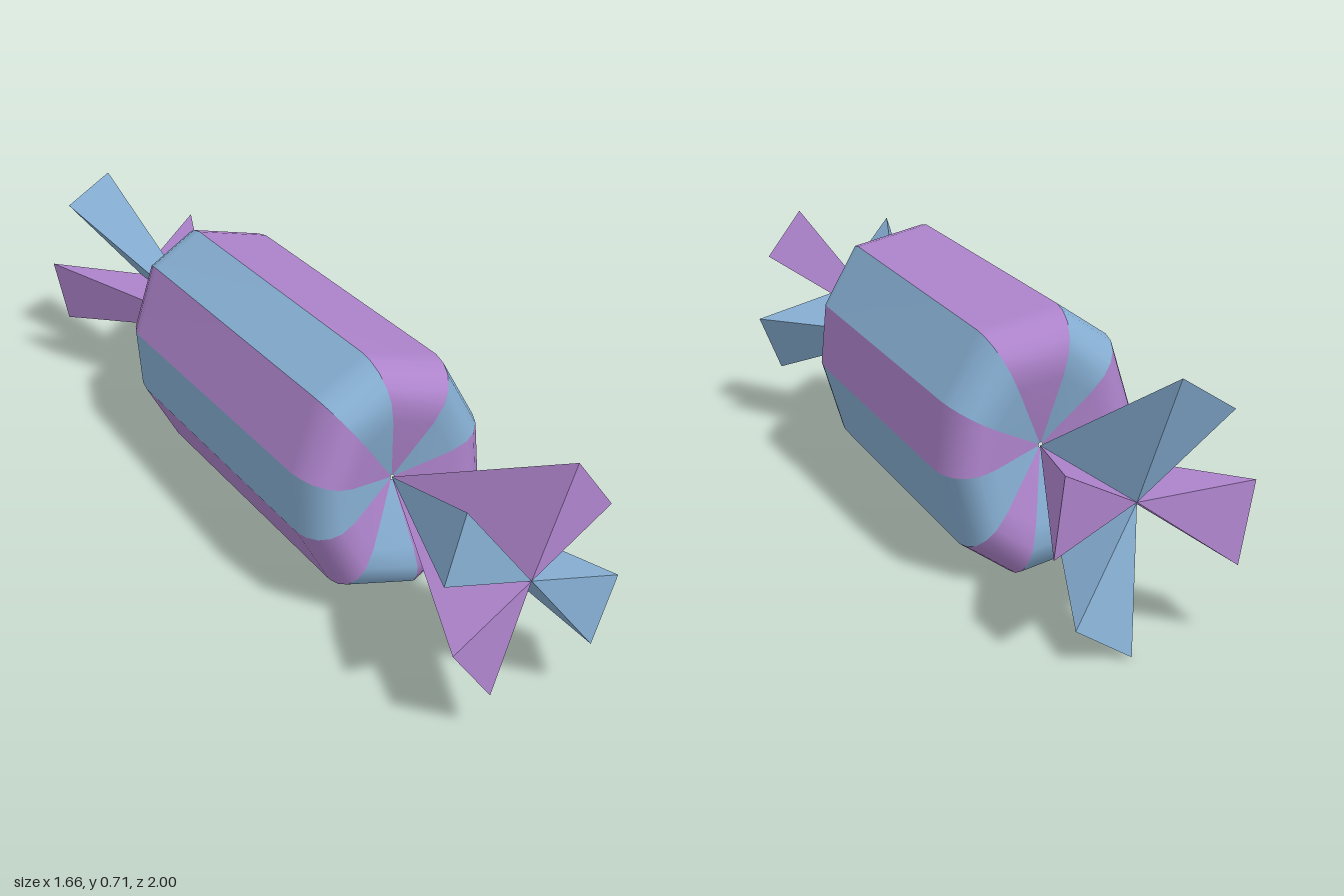
import * as THREE from 'three';
import { ConvexGeometry } from 'three/addons/geometries/ConvexGeometry.js';

const PURPLE = 0xae84cc, BLUE = 0x86aed2;
const V = (x, y, z) => new THREE.Vector3(x, y, z);

// Frame of the sweet: long axis, sideways direction and centre height
const AXIS = V(0.57, 0.046, 0.82), SIDE = V(0.82, 0, -0.57), MID = 0.36;

// Half of the ten-sided cross-section (sideways, up); the rest is its point mirror
const half = [[-0.06, 0.33], [0.143, 0.28], [0.235, 0.115], [0.25, -0.055], [0.19, -0.245]];
const section = [...half, ...half.map(([p, y]) => [-p, -y])];

// Rounded shoulder and dished end: distance along the axis, scale of the section
const end = [[0.46, 1], [0.50, 0.975], [0.535, 0.92], [0.56, 0.83], [0.572, 0.72], [0.565, 0.55], [0.51, 0.02]];
const rings = [...end.map(([a, s]) => [-a, s]).reverse(), ...end];

function bodyPoint([a, s], [p, y]) {
  const v = AXIS.clone().multiplyScalar(a).addScaledVector(SIDE, p * s);
  v.y += MID + y * s;
  return v;
}

// One lengthwise panel: smooth along its length, sharp against its neighbours
function panelGeometry(k) {
  const positions = [], index = [];
  rings.forEach((ring, i) => {
    for (const corner of [section[k], section[(k + 1) % section.length]]) {
      positions.push(...bodyPoint(ring, corner).toArray());
    }
    if (i < rings.length - 1) {
      const n = 2 * i;
      index.push(n, n + 2, n + 3, n, n + 3, n + 1);
    }
  });
  const g = new THREE.BufferGeometry();
  g.setAttribute('position', new THREE.Float32BufferAttribute(positions, 3));
  g.setIndex(index);
  g.computeVertexNormals();
  return g;
}

// Twisted wrapper end: four folded petals from one knot to a shared middle
function wrapperEnd(name, knot, middle, petals) {
  const group = new THREE.Group();
  group.name = name;
  petals.forEach(([p, q], i) => {
    const mesh = new THREE.Mesh(
      new ConvexGeometry([knot, middle, V(...p), V(...q)]),
      new THREE.MeshStandardMaterial({ color: i % 2 ? PURPLE : BLUE, flatShading: true })
    );
    mesh.name = 'wrapperPetal';
    group.add(mesh);
  });
  return group;
}

export function createModel() {
  const model = new THREE.Group();
  model.name = 'wrappedCandy';

  // Striped body
  const body = new THREE.Group();
  body.name = 'body';
  section.forEach((_, k) => {
    const mesh = new THREE.Mesh(panelGeometry(k),
      new THREE.MeshStandardMaterial({ color: k % 2 ? BLUE : PURPLE }));
    mesh.name = 'bodyStripe';
    body.add(mesh);
  });
  model.add(body);

  // Wrapper ends
  model.add(wrapperEnd('frontWrapperEnd', V(0.29, 0.385, 0.42), V(0.635, 0.405, 0.86), [
    [[0.49, 0.63, 0.96], [0.45, 0.465, 1.0]],
    [[0.72, 0.67, 0.79], [0.80, 0.535, 0.725]],
    [[0.83, 0.34, 0.71], [0.78, 0.18, 0.76]],
    [[0.56, 0.14, 0.93], [0.475, 0.28, 0.99]],
  ]));
  model.add(wrapperEnd('backWrapperEnd', V(-0.29, 0.335, -0.42), V(-0.58, 0.33, -0.78), [
    [[-0.68, 0.63, -0.84], [-0.785, 0.55, -0.76]],
    [[-0.83, 0.38, -0.71], [-0.80, 0.19, -0.74]],
    [[-0.59, 0.005, -0.87], [-0.48, 0.085, -0.95]],
    [[-0.46, 0.445, -0.99], [-0.44, 0.26, -1.0]],
  ]));
  return model;
}
